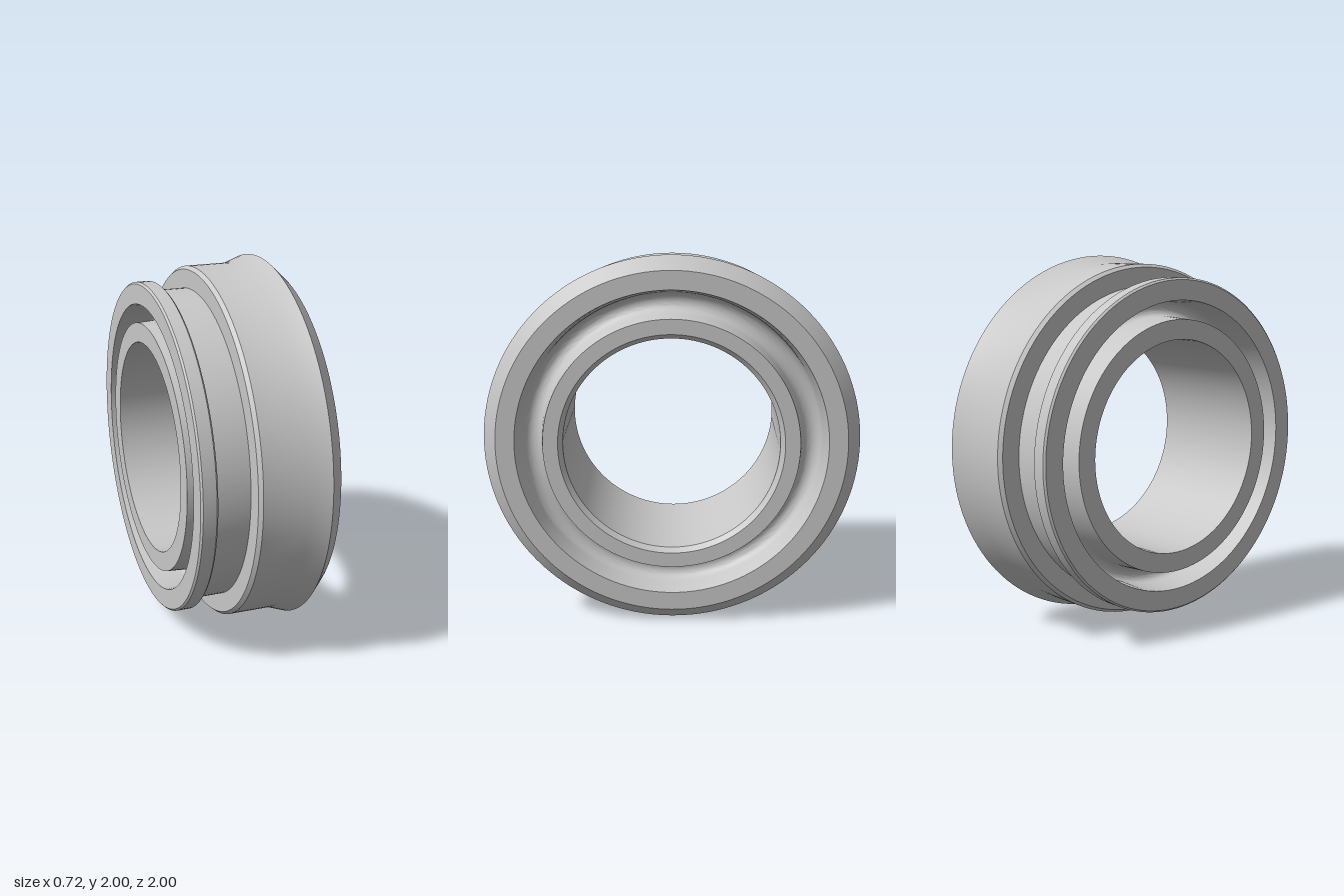
import * as THREE from 'three';
import { toCreasedNormals } from 'three/addons/utils/BufferGeometryUtils.js';

const END = 0.36;      // half the width along the axis
const BORE = 0.575;

// Rounded groove floor between two radii; bulge is its signed depth along the axis
function grooveFloor(rStart, rEnd, x, bulge, steps = 18) {
  const mid = (rStart + rEnd) / 2, half = (rStart - rEnd) / 2;
  const points = [];
  for (let i = 0; i <= steps; i++) {
    const a = (Math.PI * i) / steps;
    points.push([mid + half * Math.cos(a), x + bulge * Math.sin(a)]);
  }
  return points;
}

// Spin a [radius, x] profile around the x axis, keeping hard edges crisp
function turned(name, profile, material) {
  const points = profile.map(([r, x]) => new THREE.Vector2(r, x));
  const geometry = toCreasedNormals(new THREE.LatheGeometry(points, 128), 0.4);
  geometry.rotateZ(-Math.PI / 2);
  geometry.translate(0, 1, 0);
  const mesh = new THREE.Mesh(geometry, material);
  mesh.name = name;
  return mesh;
}

export function createModel() {
  const steel = new THREE.MeshStandardMaterial({ color: 0xc8c8c8 });
  steel.name = 'grey steel';

  const group = new THREE.Group();
  group.name = 'flangedRing';

  // Thin flange and recessed neck
  group.add(turned('thinFlangeAndNeck', [
    [0.78, -END], [0.887, -END], [0.897, -0.35], [0.897, -0.28],
    [0.887, -0.27], [0.845, -0.27], [0.845, -0.085],
  ], steel));

  // Wide body flaring to a bevelled rim
  group.add(turned('bodyAndRim', [
    [0.845, -0.085], [0.945, -0.085], [0.962, -0.065], [0.962, 0.18],
    [1.0, 0.287], [0.93, END], [0.83, END],
  ], steel));

  // Rounded groove with sloping walls in the rim side
  group.add(turned('rimGroove', [
    [0.83, END], ...grooveFloor(0.805, 0.695, 0.265, -0.055), [0.68, END],
  ], steel));

  // Inner sleeve with a chamfered bore
  group.add(turned('innerSleeve', [
    [0.68, END], [0.6, END], [BORE, 0.335], [BORE, -END], [0.68, -END],
  ], steel));

  // Narrow rounded groove in the flange side
  group.add(turned('flangeGroove', [
    [0.68, -END], ...grooveFloor(0.69, 0.77, -0.2, 0.04), [0.78, -END],
  ], steel));

  return group;
}
